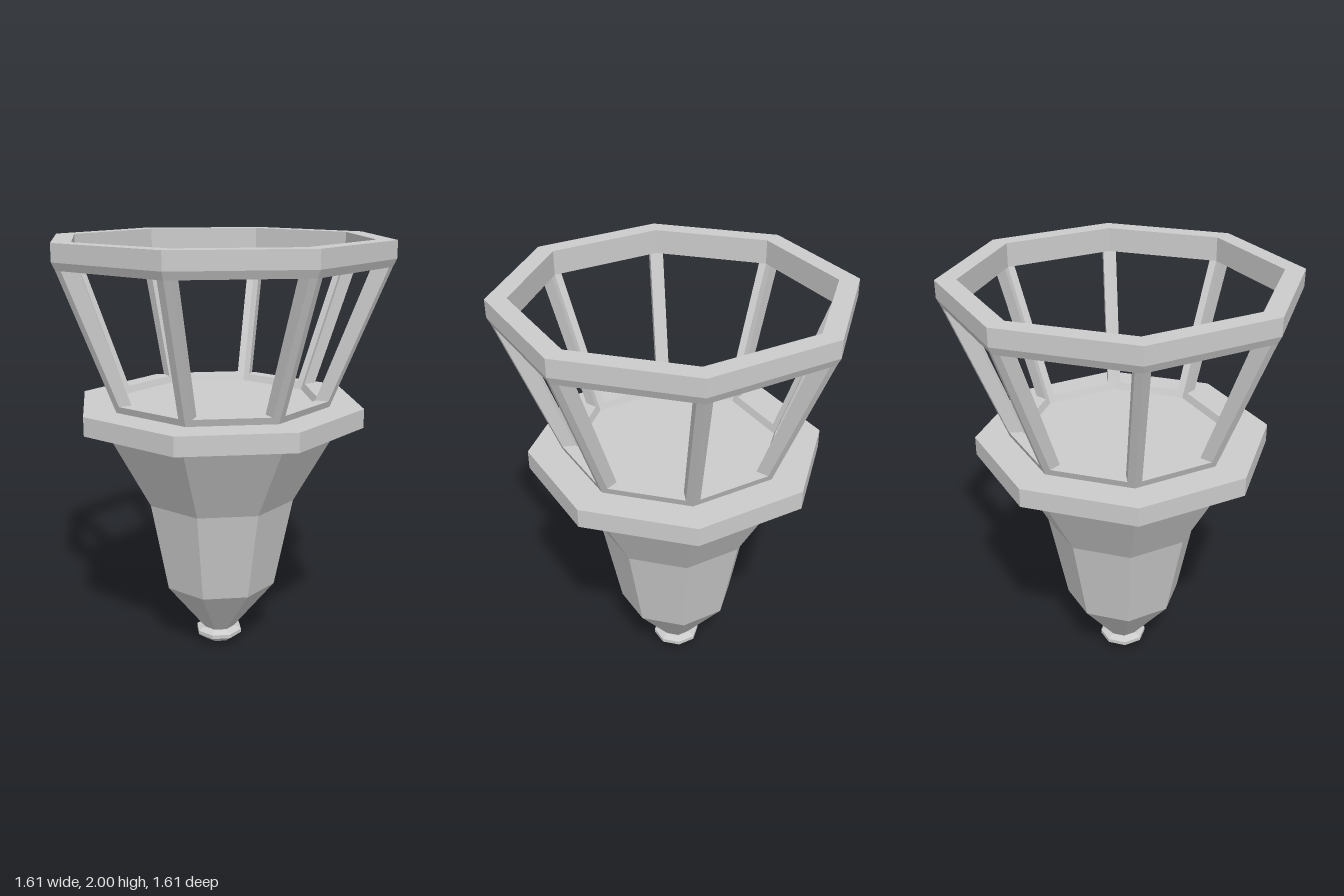
import * as THREE from 'three';

const SIDES = 8;
const material = new THREE.MeshStandardMaterial({ color: 0xcccccc, flatShading: true });

// Eight-sided part turned from a [radius, height] profile, a corner facing front
function turned(name, profile) {
  const points = profile.map(([r, y]) => new THREE.Vector2(r, y));
  const mesh = new THREE.Mesh(new THREE.LatheGeometry(points, SIDES).toNonIndexed(), material);
  mesh.geometry.computeVertexNormals();
  mesh.name = name;
  return mesh;
}

// Sloping corner post: six-sided section, ridged to follow the octagon's corner
function postGeometry(bottom, top, halfWidth) {
  const drop = halfWidth * Math.tan(Math.PI / SIDES);
  const section = ({ y, outer, inner }) => [
    [0, outer], [halfWidth, outer - drop], [halfWidth, inner - drop],
    [0, inner], [-halfWidth, inner - drop], [-halfWidth, outer - drop],
  ].map(([x, z]) => [x, y, z]);
  const a = section(bottom), b = section(top), positions = [];
  for (let i = 0; i < 6; i++) {
    const j = (i + 1) % 6;
    for (const p of [a[i], a[j], b[j], a[i], b[j], b[i]]) positions.push(...p);
  }
  const geometry = new THREE.BufferGeometry();
  geometry.setAttribute('position', new THREE.Float32BufferAttribute(positions, 3));
  geometry.computeVertexNormals();
  return geometry;
}

export function createModel() {
  const model = new THREE.Group();
  model.name = 'lantern';

  // Small knob at the foot
  model.add(turned('finial', [[0, 0], [0.07, 0.012], [0.115, 0.045], [0.115, 0.064], [0.085, 0.079], [0, 0.079]]));

  // Tapering body
  model.add(turned('body', [[0.075, 0.075], [0.28, 0.333], [0.367, 0.772], [0.577, 1.153]]));

  // Wide collar, whose top is also the lantern floor
  model.add(turned('collar', [[0, 1.153], [0.688, 1.153], [0.688, 1.242], [0, 1.242]]));

  // Frame below and above the window openings
  model.add(turned('sill', [[0.467, 1.242], [0.528, 1.242], [0.541, 1.275], [0.48, 1.275], [0.467, 1.242]]));
  model.add(turned('topRing', [
    [0.71, 1.885], [0.786, 1.885], [0.803, 1.92], [0.803, 2], [0.71, 2], [0.71, 1.885],
  ]));

  // Posts at every corner
  const posts = new THREE.Group();
  posts.name = 'posts';
  const geometry = postGeometry(
    { y: 1.242, outer: 0.528, inner: 0.467 },
    { y: 1.89, outer: 0.788, inner: 0.712 },
    0.031,
  );
  for (let i = 0; i < SIDES; i++) {
    const post = new THREE.Mesh(geometry, material);
    post.name = 'post';
    post.rotation.y = (i / SIDES) * Math.PI * 2;
    posts.add(post);
  }
  model.add(posts);
  return model;
}
